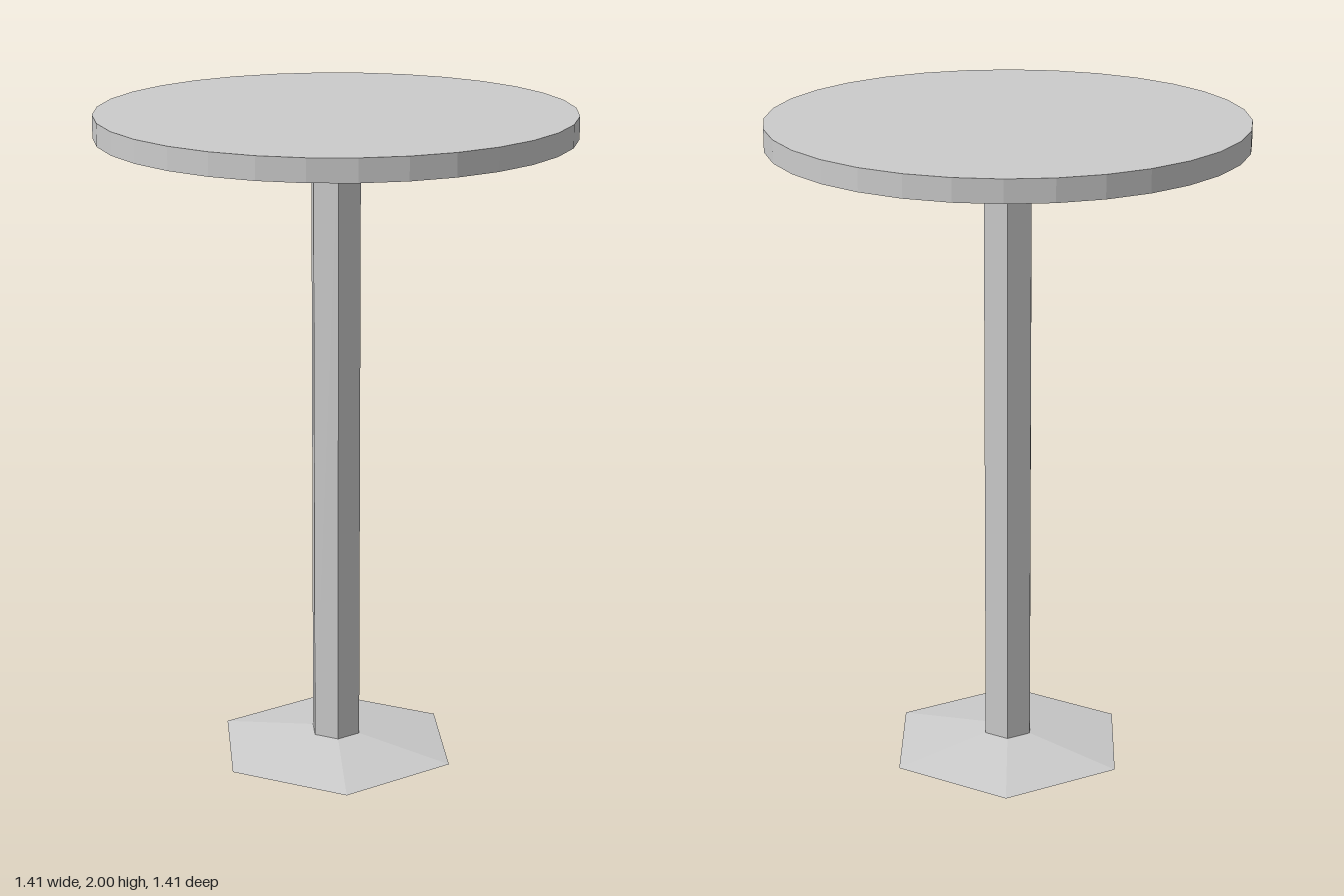
import * as THREE from 'three';

export function createModel() {
  const group = new THREE.Group();
  const material = new THREE.MeshStandardMaterial({ color: 0xcccccc, flatShading: true });

  // Upright prism or frustum between two heights
  function addPart(name, radiusTop, radiusBottom, yBottom, yTop, sides) {
    const geometry = new THREE.CylinderGeometry(radiusTop, radiusBottom, yTop - yBottom, sides);
    const mesh = new THREE.Mesh(geometry, material);
    mesh.name = name;
    mesh.position.y = (yBottom + yTop) / 2;
    group.add(mesh);
  }

  // Shallow hexagonal foot, hexagonal post and round top
  addPart('base', 0.08, 0.385, 0, 0.047, 6);
  addPart('column', 0.08, 0.08, 0.047, 1.932, 6);
  addPart('tableTop', 0.707, 0.707, 1.932, 2, 32);

  return group;
}
